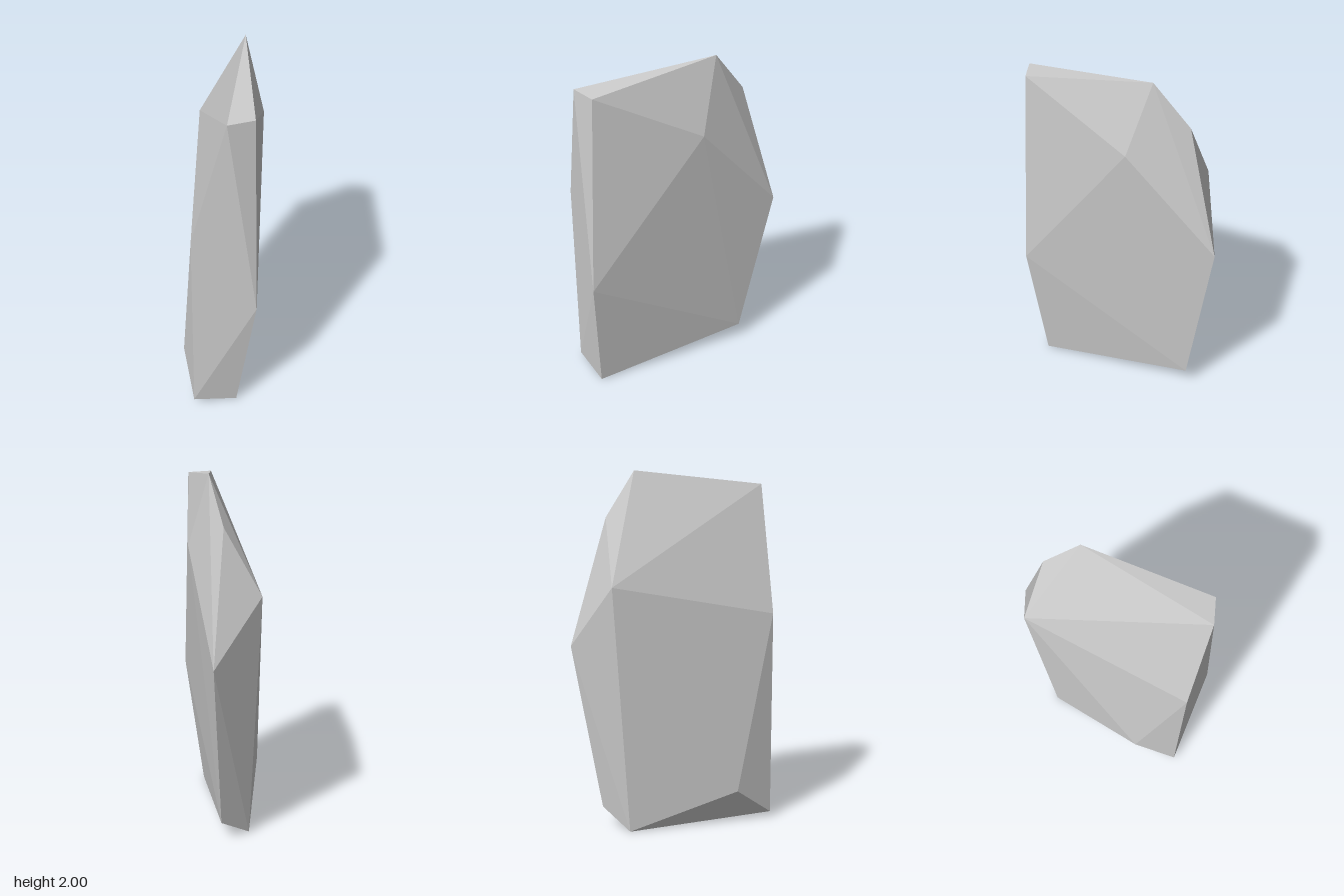
import * as THREE from 'three';
import { ConvexGeometry } from 'three/addons/geometries/ConvexGeometry.js';

// Corners of a tall faceted stone slab, grouped by level
const corners = {
  crown: [[0.105, 2, -0.185], [0.05, 1.92, 0.56], [0.185, 1.92, 0.507], [0.04, 1.75, -0.37], [0.212, 1.6, -0.08]],
  waist: [[-0.16, 1.39, -0.4], [-0.135, 1.2, 0.56], [0.105, 1.04, -0.56], [0.212, 0.755, 0.56]],
  foot: [[-0.212, 0.2, 0.32], [0.055, 0.11, -0.4], [-0.135, 0.03, 0.56], [0.105, 0, 0.507], [-0.107, 0, -0.29]],
};

export function createModel() {
  const group = new THREE.Group();
  group.name = 'standingStone';

  // The stone is the convex hull of its corners, with flat facets
  const points = Object.values(corners).flat().map((p) => new THREE.Vector3(...p));
  const material = new THREE.MeshStandardMaterial({ color: 0xcccccc, flatShading: true });
  const rock = new THREE.Mesh(new ConvexGeometry(points), material);
  rock.name = 'rock';
  group.add(rock);

  return group;
}
